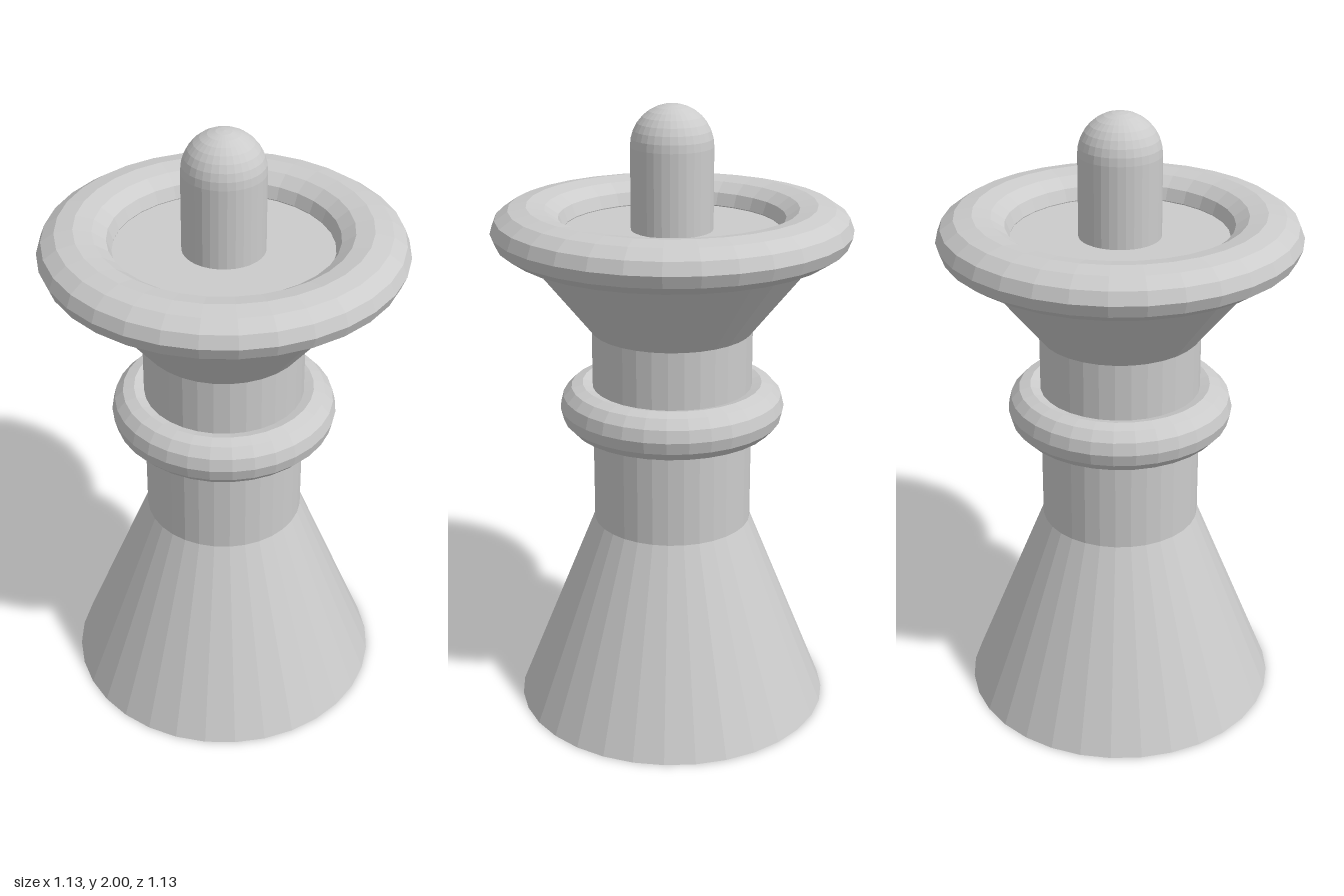
import * as THREE from 'three';

const SIDES = 32;

export function createModel() {
  const group = new THREE.Group();
  const material = new THREE.MeshStandardMaterial({ color: 0xcccccc, flatShading: true });

  const add = (name, geometry, y) => {
    const mesh = new THREE.Mesh(geometry, material);
    mesh.name = name;
    mesh.position.y = y;
    group.add(mesh);
    return mesh;
  };

  // Straight or tapered round section standing between two heights
  const section = (name, rBottom, rTop, y0, y1, open = false) =>
    add(name, new THREE.CylinderGeometry(rTop, rBottom, y1 - y0, SIDES, 1, open), (y0 + y1) / 2);

  // Horizontal ring with an oval cross-section: outer radius, half height, centre height
  const ring = (name, outer, halfHeight, y) => {
    const tube = outer / 5;
    const geometry = new THREE.TorusGeometry(outer - tube, tube, 12, SIDES);
    geometry.rotateX(-Math.PI / 2);
    geometry.scale(1, halfHeight / tube, 1);
    return add(name, geometry, y);
  };

  // Flared foot, straight stem and funnel-shaped head
  section('base', 0.515, 0.257, 0, 0.645);
  section('stem', 0.257, 0.257, 0.645, 1.29, true);
  section('head', 0.257, 0.515, 1.29, 1.613);

  // Rounded rings around the stem and the head
  ring('collar', 0.361, 0.078, 1.035);
  ring('rim', 0.565, 0.078, 1.616);

  // Round-topped peg in the middle of the head
  section('finialShaft', 0.129, 0.129, 1.613, 1.871, true);
  add('finialDome', new THREE.SphereGeometry(0.129, SIDES, 8, 0, Math.PI * 2, 0, Math.PI / 2), 1.871);

  return group;
}
